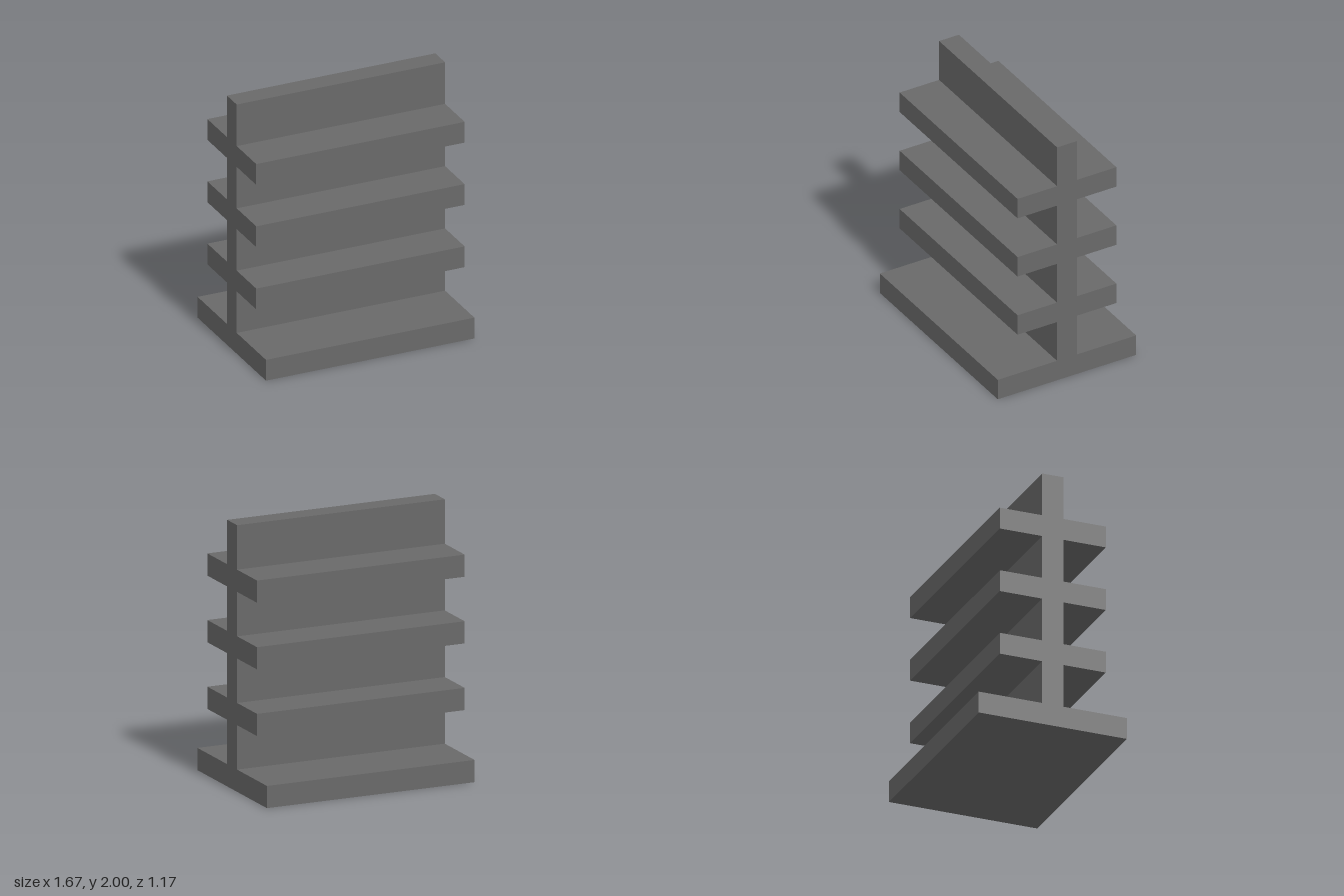
import * as THREE from 'three';

const U = 1 / 6; // board thickness, the module every size is built on
const WIDTH = 10 * U;

export function createModel() {
  const group = new THREE.Group();
  group.name = 'doubleSidedShelf';

  const grey = new THREE.MeshStandardMaterial({ color: 0x696969 });
  grey.name = 'dark grey';

  // Full-width board: bottom height, height, depth and centre in z
  const addBoard = (name, bottom, height, depth, z = 0) => {
    const mesh = new THREE.Mesh(new THREE.BoxGeometry(WIDTH, height, depth), grey);
    mesh.name = name;
    mesh.position.set(0, bottom + height / 2, z);
    group.add(mesh);
  };

  // Base plate and the upright panel standing on it
  addBoard('base', 0, U, 7 * U);
  addBoard('centrePanel', U, 11 * U, U);

  // Three levels of shelves on both faces of the panel
  for (let level = 1; level <= 3; level++) {
    for (const [side, sign] of [['front', 1], ['back', -1]]) {
      addBoard(`${side}Shelf${level}`, 3 * U * level, U, 2 * U, sign * 1.5 * U);
    }
  }

  return group;
}
